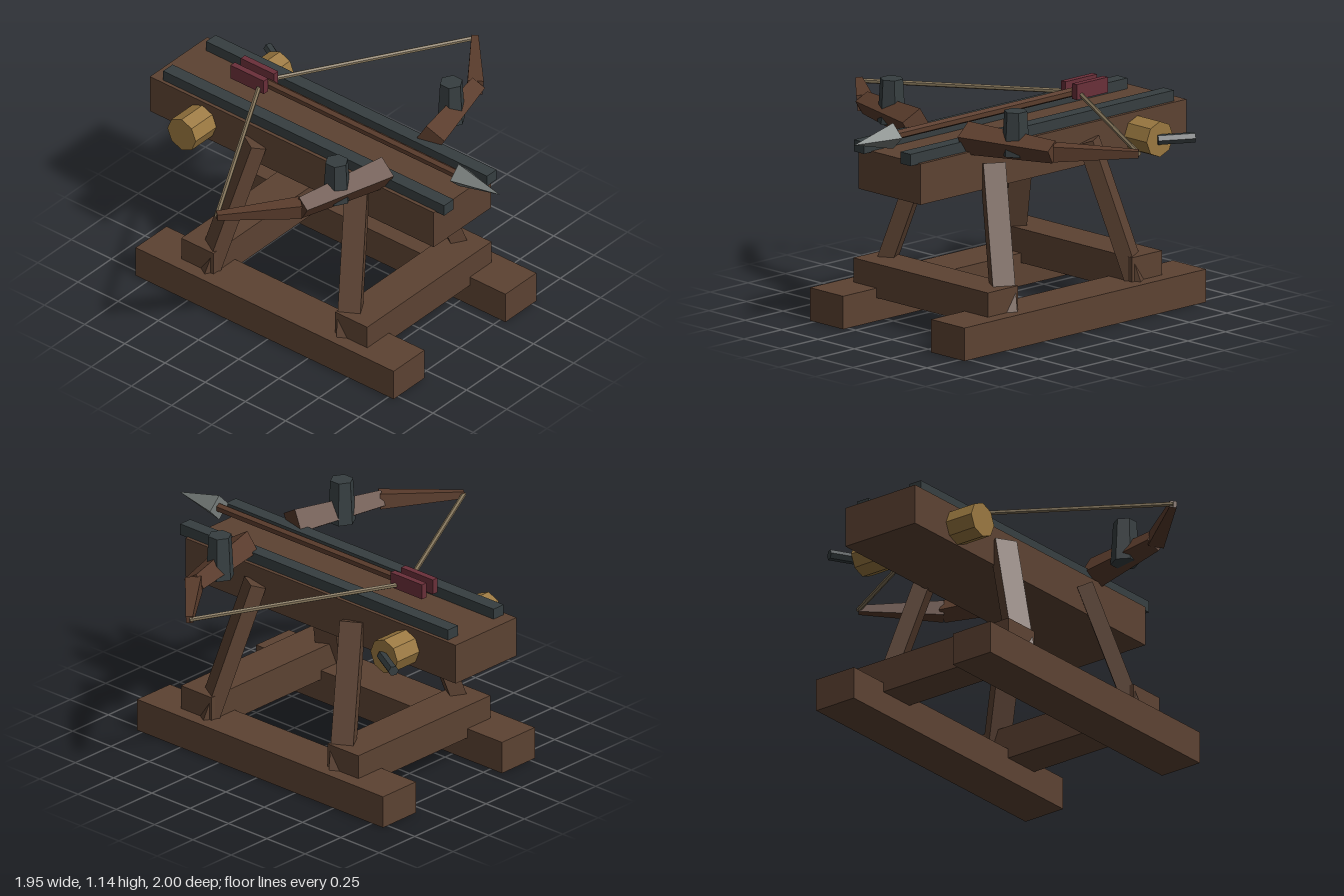
import * as THREE from 'three';

const mat = (name, color) => {
  const m = new THREE.MeshStandardMaterial({ color, flatShading: true });
  m.name = name;
  return m;
};

export function createModel() {
  const wood = mat('wood', 0x5c4232);
  const limbWood = mat('limb wood', 0x5a3c2c);
  const iron = mat('dark iron', 0x363e40);
  const steel = mat('steel', 0x767c7a);
  const brass = mat('winch gold', 0x9a7840);
  const red = mat('fletching red', 0x6a2f39);
  const rope = mat('rope', 0x83745a);

  const model = new THREE.Group();
  model.name = 'ballista';
  const V = (x, y, z) => new THREE.Vector3(x, y, z);

  const add = (name, geometry, material) => {
    const mesh = new THREE.Mesh(geometry, material);
    mesh.name = name;
    model.add(mesh);
    return mesh;
  };

  // Box given by its minimum and maximum corners
  const box = (name, material, x0, x1, y0, y1, z0, z1) =>
    add(name, new THREE.BoxGeometry(x1 - x0, y1 - y0, z1 - z0), material)
      .position.set((x0 + x1) / 2, (y0 + y1) / 2, (z0 + z1) / 2);

  // Faceted rod from a (radius ra) to b (radius rb)
  const rod = (name, material, a, b, ra, rb, sides) => {
    const dir = b.clone().sub(a);
    const mesh = add(name, new THREE.CylinderGeometry(rb, ra, dir.length(), sides), material);
    mesh.position.copy(a).add(b).multiplyScalar(0.5);
    mesh.quaternion.setFromUnitVectors(V(0, 1, 0), dir.normalize());
    return mesh;
  };

  // Square leg leaning along the line a to b, one face turned outward
  const leg = (a, b) => {
    const up = b.clone().sub(a);
    const mesh = add('leg', new THREE.BoxGeometry(0.078, up.length(), 0.11), wood);
    up.normalize();
    const side = V(-up.z, 0, up.x).normalize();
    const out = up.clone().cross(side);
    mesh.quaternion.setFromRotationMatrix(new THREE.Matrix4().makeBasis(out, up, side));
    mesh.position.copy(a).add(b).multiplyScalar(0.5);
  };

  // Stock and the two cross beams
  box('stock', wood, -0.213, 0.213, 0.708, 0.91, -1, 0.765);
  for (const z of [-0.497, 0.46]) box('crossBeam', wood, -0.463, 0.463, 0.115, 0.283, z - 0.1, z + 0.1);

  for (const s of [-1, 1]) {
    // Base skids and top rails
    box('skid', wood, s * 0.417 - 0.115, s * 0.417 + 0.115, 0, 0.163, -0.823, 0.782);
    box('rail', iron, s * 0.16 - 0.035, s * 0.16 + 0.035, 0.905, 0.963, -0.933, 0.815);

    // Splayed legs
    for (const d of [-1, 1]) {
      leg(V(s * 0.433, 0.14, -0.02 + d * 0.44), V(s * 0.225, 0.83, -0.02 + d * 0.318));
    }

    // Bow: thick inner limb, thin outer limb, iron peg and half the string
    const root = V(s * 0.17, 0.97, 0.422);
    const bend = V(s * 0.65, 0.967, 0.302);
    const tip = V(s * 0.962, 0.97, 0.04);
    rod('innerLimb', limbWood, root, bend, 0.08, 0.055, 4);
    rod('outerLimb', limbWood, bend, tip, 0.055, 0.024, 4);
    add('limbPeg', new THREE.CylinderGeometry(0.057, 0.07, 0.217, 6), iron)
      .position.set(s * 0.427, 1.028, 0.34);
    rod('bowstring', rope, tip, V(0, 1.0, -0.487), 0.012, 0.012, 6);

    // Fletching blade
    box('fletching', red, s * 0.038 - 0.016, s * 0.038 + 0.016, 0.98, 1.056, -0.632, -0.425);
  }

  // Bolt shaft and pyramid head
  rod('boltShaft', limbWood, V(0, 1.005, -0.59), V(0, 1.005, 0.75), 0.023, 0.023, 6);
  rod('boltHead', steel, V(0, 1.005, 0.742), V(0, 1.005, 1), 0.064, 0, 4);

  // Winch drum through the stock, and its crank
  rod('winchDrum', brass, V(-0.367, 0.8, -0.675), V(0.367, 0.8, -0.675), 0.088, 0.088, 8);
  rod('winchCrank', iron, V(0.365, 0.8, -0.66), V(0.455, 0.8, -0.82), 0.026, 0.026, 6);

  return model;
}
